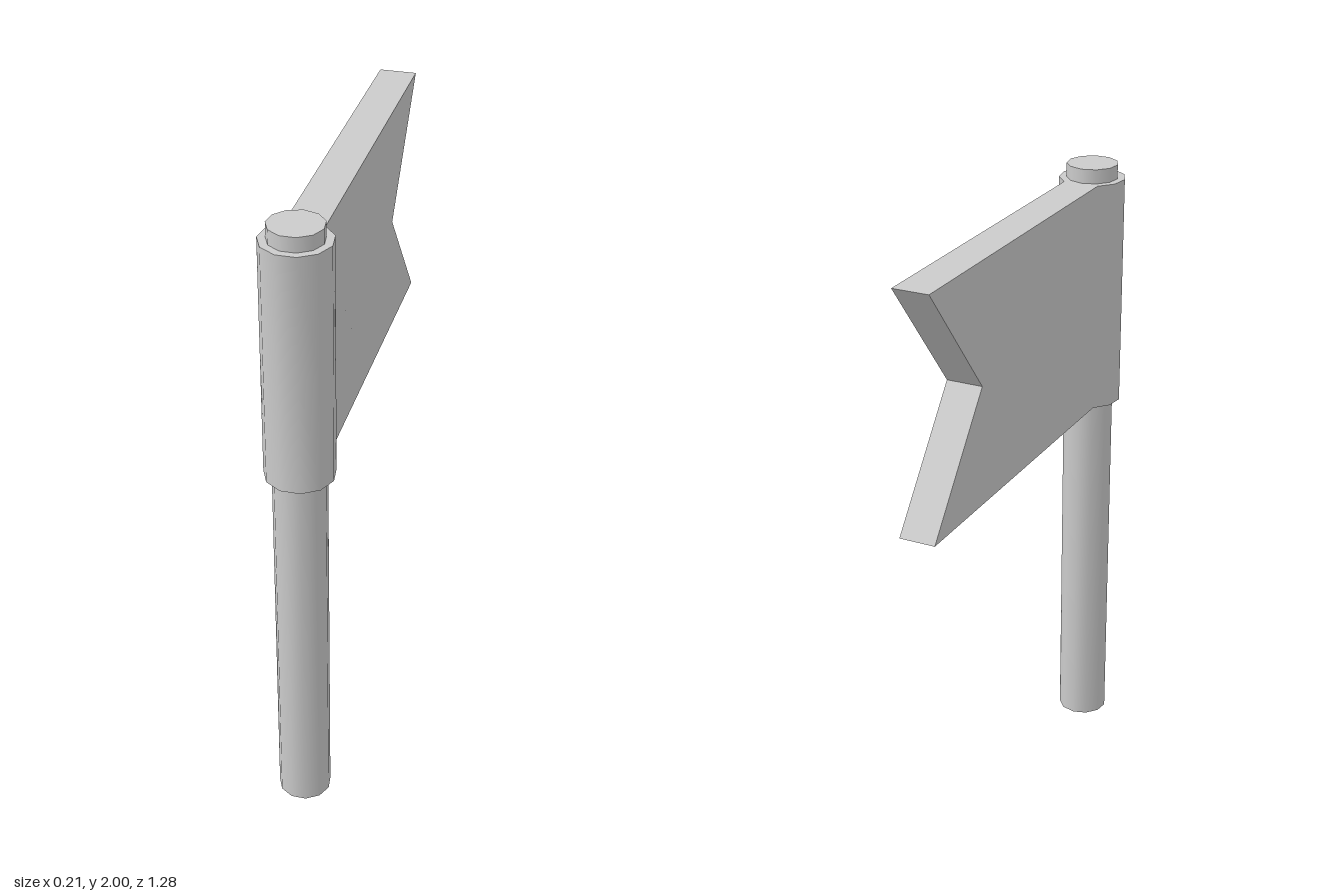
import * as THREE from 'three';
import { toCreasedNormals } from 'three/addons/utils/BufferGeometryUtils.js';

const SIDES = 11;
const POLE_Z = 0.539;

export function createModel() {
  const group = new THREE.Group();
  const material = new THREE.MeshStandardMaterial({ color: 0xcccccc });

  // Pole, with one corner pointing towards the flag
  const pole = new THREE.Mesh(
    new THREE.CylinderGeometry(0.082, 0.082, 2, SIDES, 1, false, Math.PI), material);
  pole.name = 'pole';
  pole.position.set(0, 1, POLE_Z);
  group.add(pole);

  // Flag and sleeve: a keyhole outline seen from above, extruded upwards
  const radius = 0.106, bottom = 1.205, height = 0.75, tail = -0.64, notch = -0.34;
  const corner = (i) => {
    const a = (i / SIDES) * Math.PI * 2;
    return new THREE.Vector2(radius * Math.sin(a), -POLE_Z + radius * Math.cos(a));
  };
  const half = corner(1).x;
  const outline = [new THREE.Vector2(-half, -tail), new THREE.Vector2(half, -tail)];
  for (let i = 1; i < SIDES; i++) outline.push(corner(i));

  const geometry = new THREE.ExtrudeGeometry(new THREE.Shape(outline),
    { depth: height, steps: 2, bevelEnabled: false });
  geometry.rotateX(-Math.PI / 2);

  // Swallowtail: pull the middle of the end edge towards the pole
  const p = geometry.attributes.position;
  for (let i = 0; i < p.count; i++) {
    if (p.getZ(i) < tail + 0.01 && Math.abs(p.getY(i) - height / 2) < 0.01) p.setZ(i, notch);
  }

  const flag = new THREE.Mesh(toCreasedNormals(geometry, Math.PI / 4), material);
  flag.name = 'flagWithSleeve';
  flag.position.y = bottom;
  group.add(flag);

  return group;
}
